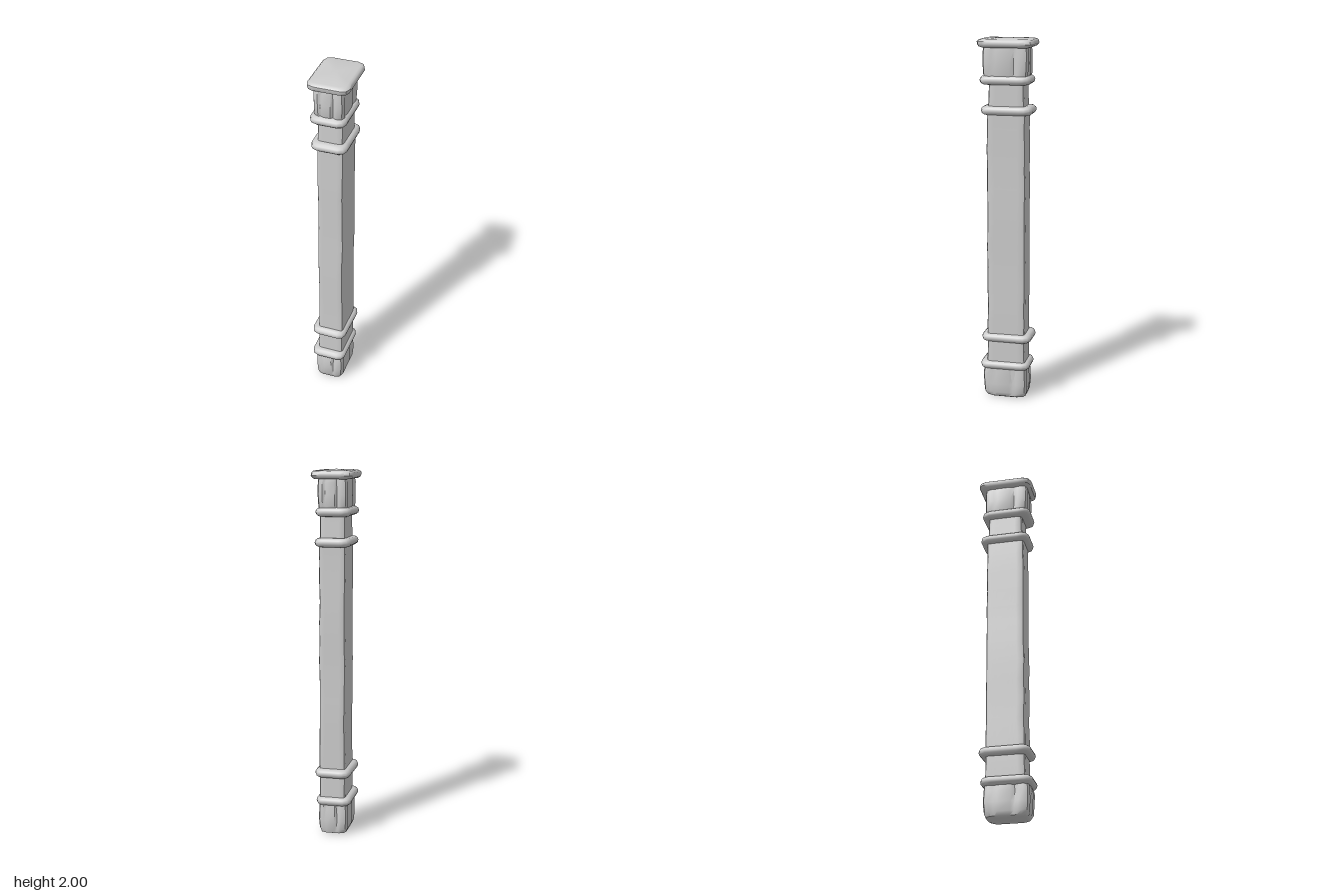
import * as THREE from 'three';
import { toCreasedNormals } from 'three/addons/utils/BufferGeometryUtils.js';

const material = new THREE.MeshStandardMaterial({ color: 0xcccccc });

// Small repeatable unevenness for the hand-carved look, from -1 to 1
const wobble = (a, b) => Math.sin(a * 2.3 + b * 5.1 + 0.7) * Math.cos(a * 1.1 - b * 2.7);

// Rounded rectangle, with optional shallow grooves beside the corners
function section(x0, x1, z0, z1, r, groove) {
  const cx = (x0 + x1) / 2, cz = (z0 + z1) / 2;
  const hx = (x1 - x0) / 2, hz = (z1 - z0) / 2;
  const pts = [];
  for (let q = 0; q < 4; q++) {
    const a0 = q * Math.PI / 2;
    const sx = q === 0 || q === 3 ? 1 : -1, sz = q < 2 ? 1 : -1;
    for (let k = 0; k <= 2; k++) {
      const a = a0 + k * Math.PI / 4;
      pts.push([cx + sx * (hx - r) + r * Math.cos(a), cz + sz * (hz - r) + r * Math.sin(a)]);
    }
    // points along the side that follows this corner
    const half = (q % 2 ? hz : hx) - r;
    const c = Math.cos(a0 + Math.PI / 2), s = Math.sin(a0 + Math.PI / 2);
    for (const [t, d] of [[0.72, 0.3], [0.5, 1], [0.28, 0], [-0.5, 0], [-0.75, 0.5]]) {
      const out = (q % 2 ? hx : hz) - groove * d;
      pts.push([cx + c * out + s * half * t, cz + s * out - c * half * t]);
    }
  }
  return pts;
}

// Loft through rows of [y, x0, x1, z0, z1, cornerRadius, groove], capped at both ends
function loft(name, rows, uneven = 0, seed = 0) {
  const pos = [], index = [];
  let n = 0;
  rows.forEach(([y, x0, x1, z0, z1, r, groove = 0], i) => {
    const pts = section(x0, x1, z0, z1, r, groove);
    n = pts.length;
    pts.forEach(([x, z], j) => {
      const side = Math.floor(j / 8);
      const k = 1 + uneven * wobble(side + seed, i * 0.4);
      pos.push(x * k, y, z * k);
    });
  });
  for (let i = 0; i < rows.length - 1; i++) {
    for (let j = 0; j < n; j++) {
      const a = i * n + j, b = i * n + (j + 1) % n;
      index.push(a, a + n, b, b, a + n, b + n);
    }
  }
  const last = (rows.length - 1) * n, end = pos.length / 3;
  pos.push(0, rows[0][0], 0, 0, rows[rows.length - 1][0] + (name === 'cap' ? 0.006 : 0), 0);
  for (let j = 0; j < n; j++) {
    const k = (j + 1) % n;
    index.push(end, j, k, end + 1, last + k, last + j);
  }
  const g = new THREE.BufferGeometry();
  g.setAttribute('position', new THREE.Float32BufferAttribute(pos, 3));
  g.setIndex(index);
  const mesh = new THREE.Mesh(toCreasedNormals(g, 0.75), material);
  mesh.name = name;
  return mesh;
}

// Rounded band wrapped around the post
function band(name, y0, y1, x0, x1, z0, z1, seed) {
  const h = (y1 - y0) / 2, rows = [];
  for (let i = 0; i <= 6; i++) {
    const a = -Math.PI / 2 + i * Math.PI / 6;
    const d = 0.026 * (1 - Math.cos(a));
    rows.push([y0 + h + h * Math.sin(a), x0 + d, x1 - d, z0 + d, z1 - d, 0.04 - d * 0.6]);
  }
  const mesh = loft(name, rows);
  // each band sits very slightly askew
  mesh.rotation.y = 0.025 * wobble(seed, 1);
  return mesh;
}

export function createModel() {
  const post = new THREE.Group();
  post.name = 'post';

  // Long shaft, slightly uneven along its length
  const shaft = [];
  for (let i = 0; i <= 14; i++) {
    const y = 0.1 + i * 0.109, w = 0.0025;
    shaft.push([y, -0.071 + w * wobble(i, 1), 0.073 + w * wobble(i, 2),
      -0.108 + w * wobble(i, 3), 0.104 + w * wobble(i, 4), 0.017 + 0.004 * wobble(i, 5)]);
  }
  post.add(loft('shaft', shaft));

  // Slimmer neck between the upper bands
  post.add(loft('neck', [
    [1.6, -0.071, 0.07, -0.104, 0.1, 0.02],
    [1.7, -0.07, 0.07, -0.1, 0.095, 0.02],
    [1.79, -0.07, 0.07, -0.098, 0.093, 0.02],
  ]));

  // Rounded foot with worn grooves
  post.add(loft('foot', [
    [0, -0.058, 0.055, -0.09, 0.1, 0.03],
    [0.008, -0.073, 0.068, -0.108, 0.116, 0.034],
    [0.03, -0.082, 0.077, -0.116, 0.124, 0.034, 0.004],
    [0.08, -0.085, 0.08, -0.118, 0.128, 0.032, 0.009],
    [0.14, -0.084, 0.079, -0.117, 0.128, 0.03, 0.012],
    [0.18, -0.08, 0.076, -0.113, 0.122, 0.03, 0.01],
  ], 0.02, 1));

  // Head block under the cap
  post.add(loft('head', [
    [1.785, -0.076, 0.074, -0.11, 0.115, 0.03, 0.006],
    [1.81, -0.082, 0.078, -0.118, 0.124, 0.03, 0.011],
    [1.87, -0.084, 0.08, -0.12, 0.128, 0.03, 0.012],
    [1.93, -0.082, 0.079, -0.12, 0.128, 0.03, 0.009],
    [1.965, -0.078, 0.076, -0.116, 0.122, 0.03, 0.004],
  ], 0.02, 2));

  // Four wrapped bands
  post.add(band('lowestBand', 0.167, 0.215, -0.103, 0.091, -0.133, 0.144, 1));
  post.add(band('lowerBand', 0.328, 0.377, -0.103, 0.094, -0.143, 0.136, 2));
  post.add(band('upperBand', 1.594, 1.642, -0.1, 0.095, -0.143, 0.137, 3));
  post.add(band('highestBand', 1.754, 1.802, -0.101, 0.092, -0.134, 0.144, 4));

  // Overhanging cap with a faintly domed top
  post.add(loft('cap', [
    [1.95, -0.095, 0.095, -0.13, 0.13, 0.03],
    [1.956, -0.106, 0.106, -0.144, 0.145, 0.036],
    [1.968, -0.112, 0.112, -0.151, 0.152, 0.038],
    [1.982, -0.111, 0.111, -0.15, 0.151, 0.038],
    [1.991, -0.103, 0.103, -0.142, 0.143, 0.036],
    [1.994, -0.092, 0.092, -0.13, 0.13, 0.034],
  ], 0.012, 3));

  return post;
}
